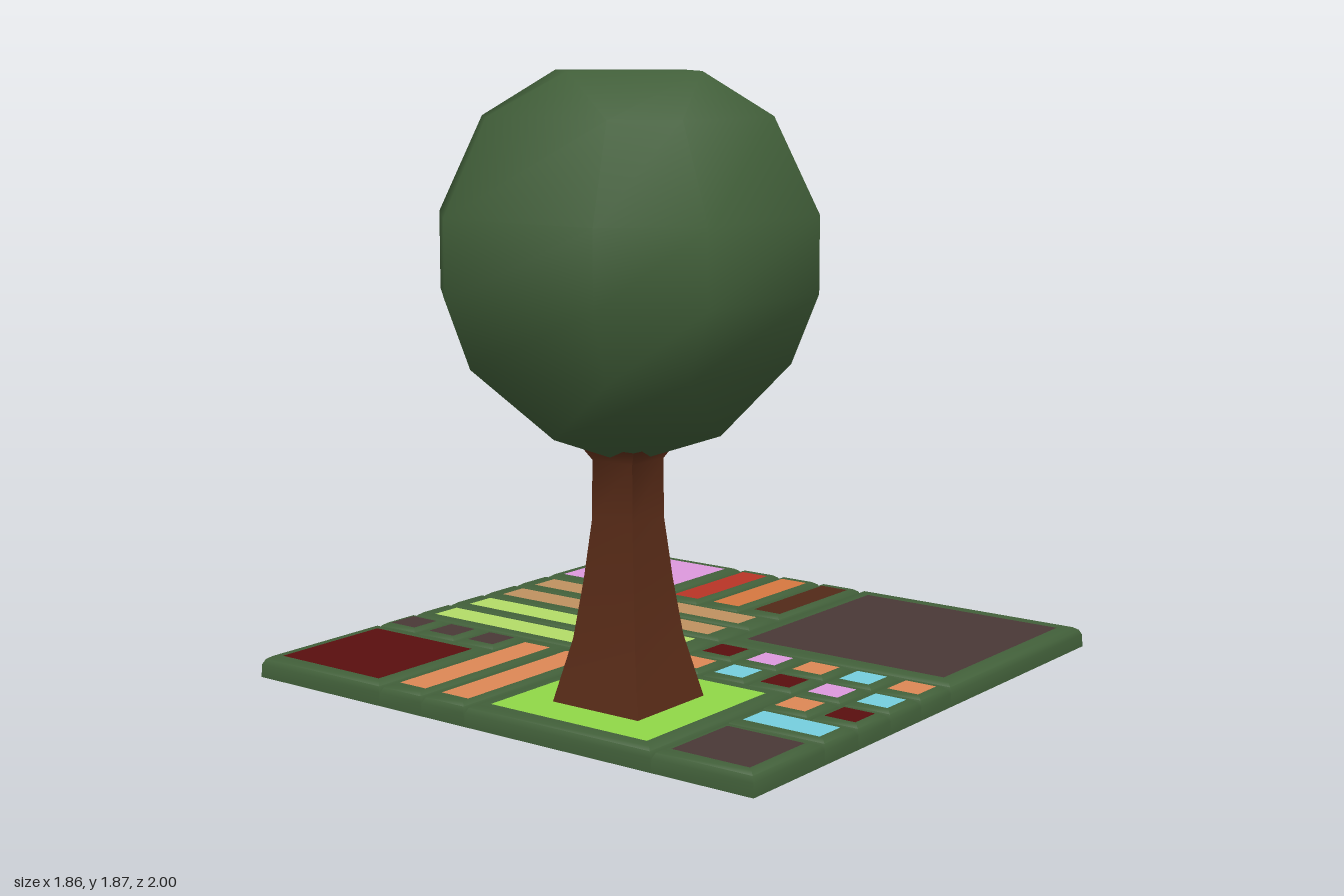
import * as THREE from 'three';
import { mergeVertices, toCreasedNormals } from 'three/addons/utils/BufferGeometryUtils.js';

const UNIT = 0.169; // one cell of the 11 x 11 ground grid
const TOP = 0.065; // height of the ground tiles
const X0 = -0.93, Z0 = -1;

const paint = (color) => new THREE.MeshStandardMaterial({ color, side: THREE.DoubleSide });
const green = paint(0x42603a);
const colors = {
  pink: paint(0xdd99dd), red: paint(0xb93426), orange: paint(0xd67840), brown: paint(0x522a18),
  grey: paint(0x4a3936), tan: paint(0xbf9160), lime: paint(0xb4dc68), cyan: paint(0x76cfdf),
  maroon: paint(0x5a0f0f), apricot: paint(0xdd8855), grass: paint(0x90d848), bark: paint(0x5a2c18),
};

// Cross-sections, all running from +x towards +z
const rectRing = (y, hx, hz) => [[hx, y, hz], [-hx, y, hz], [-hx, y, -hz], [hx, y, -hz]];
const octRing = (y, a, b) => [[a, y, b], [b, y, a], [-b, y, a], [-a, y, b],
  [-a, y, -b], [-b, y, -a], [b, y, -a], [a, y, -b]];

// Skin between rings, listed from bottom to top, with optional flat caps
function loft(rings, caps = false) {
  const n = rings[0].length, last = rings.length - 1;
  const points = rings.flat();
  const index = [];
  for (let r = 0; r < last; r++) {
    for (let i = 0; i < n; i++) {
      const p = r * n + i, q = r * n + (i + 1) % n;
      index.push(p, p + n, q, q, p + n, q + n);
    }
  }
  if (caps) {
    const c = points.length;
    points.push([0, rings[0][0][1], 0], [0, rings[last][0][1], 0]);
    for (let i = 0; i < n; i++) {
      const j = (i + 1) % n;
      index.push(c, i, j, c + 1, last * n + j, last * n + i);
    }
  }
  const geometry = new THREE.BufferGeometry();
  geometry.setAttribute('position', new THREE.Float32BufferAttribute(points.flat(), 3));
  geometry.setIndex(index);
  const merged = mergeVertices(geometry);
  merged.computeVertexNormals();
  return merged;
}

function addMesh(parent, name, geometry, material) {
  const mesh = new THREE.Mesh(geometry, material);
  mesh.name = name;
  parent.add(mesh);
  return mesh;
}

// Ground tile, open below: bevelled green frame around a coloured panel
function makeTile(color, col, row, w, d) {
  const tile = new THREE.Group();
  tile.name = color + 'Tile';
  const hx = w * UNIT / 2, hz = d * UNIT / 2;
  const inset = (n) => 0.025 + 0.0075 * n;
  const px = hx - inset(w), pz = hz - inset(d);
  const profile = [[0, 0], [0.04, 0.002], [0.056, 0.01], [TOP, 0.024]];
  const rings = profile.map(([y, s]) => rectRing(y, hx - s, hz - s));
  rings.push(rectRing(TOP, px, pz));
  addMesh(tile, 'frame', toCreasedNormals(loft(rings), 0.9), green);
  const panel = new THREE.PlaneGeometry(px * 2, pz * 2).rotateX(-Math.PI / 2);
  addMesh(tile, 'panel', panel, colors[color]).position.y = TOP;
  tile.position.set(X0 + col * UNIT + hx, 0, Z0 + row * UNIT + hz);
  return tile;
}

export function createModel() {
  const model = new THREE.Group();
  model.name = 'treeGarden';

  // Large tiles and strips: colour, column, row, width, depth
  const tiles = [
    ['pink', 0, 0, 3, 3], ['red', 3, 0, 1, 3], ['orange', 4, 0, 1, 3], ['brown', 5, 0, 1, 3],
    ['grey', 6, 0, 5, 5],
    ['tan', 0, 3, 6, 1], ['tan', 0, 4, 6, 1], ['lime', 0, 5, 6, 1], ['lime', 0, 6, 6, 1],
    ['maroon', 0, 8, 3, 3], ['apricot', 3, 7, 1, 4], ['apricot', 4, 7, 1, 4],
    ['grass', 5, 7, 4, 4], ['cyan', 9, 8, 2, 1], ['grey', 9, 9, 2, 2],
  ];
  // Rows of single-cell tiles: first column, row, colours
  const smallRows = [
    [6, 5, ['maroon', 'pink', 'apricot', 'cyan', 'apricot']],
    [6, 6, ['apricot', 'cyan', 'maroon', 'pink', 'cyan']],
    [0, 7, ['grey', 'grey', 'grey']],
    [9, 7, ['apricot', 'maroon']],
  ];
  for (const [col, row, names] of smallRows) {
    names.forEach((name, i) => tiles.push([name, col + i, row, 1, 1]));
  }
  const ground = new THREE.Group();
  ground.name = 'ground';
  for (const t of tiles) ground.add(makeTile(...t));
  model.add(ground);

  // Tree standing on the grass tile
  const tree = new THREE.Group();
  tree.name = 'tree';
  tree.position.set(0.253, 0, 0.525);
  model.add(tree);

  // Square trunk, flared at foot and neck
  const trunk = [[0.066, 0.155], [0.25, 0.113], [0.42, 0.091], [0.6, 0.073], [0.77, 0.072], [0.81, 0.095]];
  addMesh(tree, 'trunk', toCreasedNormals(loft(trunk.map(([y, h]) => rectRing(y, h, h))), 0.6), colors.bark);

  // Faceted crown: octagons closing to diamonds above and below
  const crown = [[0.785, 0.08, 0], [0.87, 0.325, 0], [1.05, 0.395, 0.24], [1.25, 0.473, 0.26],
    [1.47, 0.473, 0.26], [1.74, 0.352, 0.21], [1.865, 0.26, 0]];
  addMesh(tree, 'crown', loft(crown.map((r) => octRing(...r)), true), green);

  return model;
}
